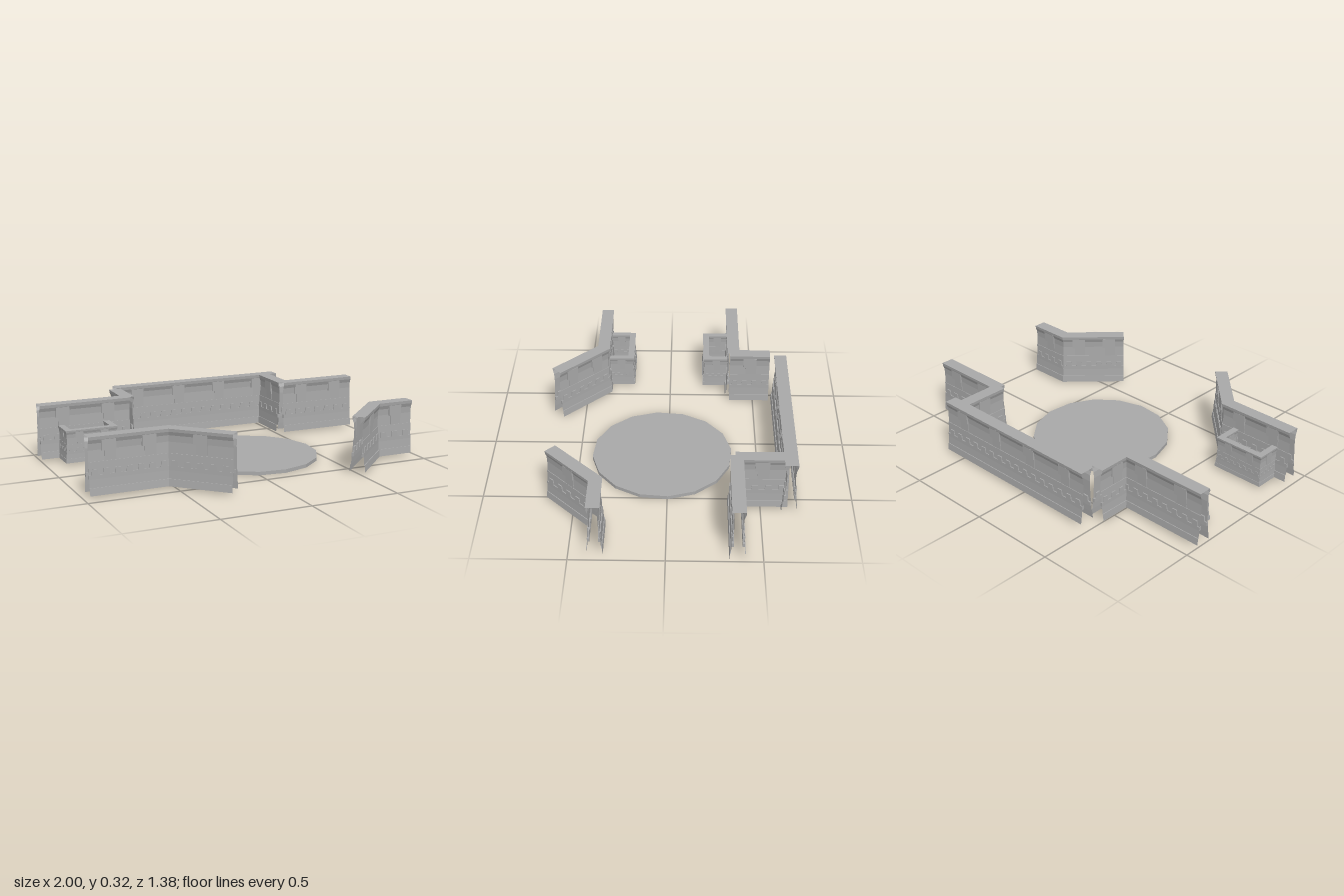
import * as THREE from 'three';
import { mergeGeometries } from 'three/addons/utils/BufferGeometryUtils.js';

// Half cross-section of a full-size wall: [distance from centreline, height]
const PROFILE = [
  [0.043, 0.015], [0.040, 0.055], [0.036, 0.055], [0.034, 0.1], [0.030, 0.1], [0.028, 0.19],
  [0.025, 0.19], [0.023, 0.25], [0.026, 0.285], [0.034, 0.305], [0.036, 0.322],
];

// Point of the path moved sideways by off, mitred at bends
function offsetPoint(path, i, off) {
  const dir = (k) => new THREE.Vector2().subVectors(path[k + 1], path[k]).normalize();
  const a = dir(Math.max(i - 1, 0));
  const b = dir(Math.min(i, path.length - 2));
  const na = new THREE.Vector2(-a.y, a.x);
  const nb = new THREE.Vector2(-b.y, b.x);
  const miter = na.clone().add(nb).normalize();
  return path[i].clone().addScaledVector(miter, off / miter.dot(na));
}

// Open shell swept along the path: both faces and the top
function shellGeometry(path, wide, tall) {
  const section = [...PROFILE, ...PROFILE.map(([w, y]) => [-w, y]).reverse()];
  const rows = path.map((_, i) => section.map(([w, y]) => {
    const p = offsetPoint(path, i, w * wide);
    return [p.x, tall(y), p.y];
  }));
  const positions = [];
  for (let i = 0; i < rows.length - 1; i++) {
    for (let k = 0; k < section.length - 1; k++) {
      const a = rows[i][k], b = rows[i + 1][k], c = rows[i + 1][k + 1], d = rows[i][k + 1];
      positions.push(...a, ...b, ...c, ...a, ...c, ...d);
    }
  }
  const geometry = new THREE.BufferGeometry();
  geometry.setAttribute('position', new THREE.Float32BufferAttribute(positions, 3));
  geometry.computeVertexNormals();
  return geometry;
}

// Raised band with a toothed upper edge, standing on local z = 0
function toothedBand(length, depth, size, tall) {
  const low = tall(0.122), high = tall(0.152);
  const count = Math.max(1, Math.round(length / (0.067 * size)));
  const step = length / count;
  const shape = new THREE.Shape();
  shape.moveTo(0, tall(0.1));
  shape.lineTo(length, tall(0.1));
  shape.lineTo(length, low);
  for (let i = count - 1; i >= 0; i--) {
    shape.lineTo((i + 0.78) * step, low);
    shape.lineTo((i + 0.72) * step, high);
    shape.lineTo((i + 0.28) * step, high);
    shape.lineTo((i + 0.22) * step, low);
  }
  shape.lineTo(0, low);
  return new THREE.ExtrudeGeometry(shape, { depth, bevelEnabled: false });
}

function brick(x, width, y0, y1, depth) {
  const box = new THREE.BoxGeometry(width, y1 - y0, depth).toNonIndexed();
  return box.translate(x, (y0 + y1) / 2, depth / 2);
}

// A wall run with bands and bricks on both faces
function createWall(name, points, material, size = 1, wide = 1) {
  const path = points.map(([x, z]) => new THREE.Vector2(x, z));
  const tall = (y) => 0.015 + (y - 0.015) * size;
  const group = new THREE.Group();
  group.name = name;
  const add = (part, geometry) => {
    const mesh = new THREE.Mesh(geometry, material);
    mesh.name = part;
    group.add(mesh);
  };
  add('wallShell', shellGeometry(path, wide, tall));

  const bands = [], bricks = [];
  for (let i = 0; i < path.length - 1; i++) {
    for (const side of [1, -1]) {
      const inner = 0.022 * wide * side;
      const ends = [offsetPoint(path, i, inner), offsetPoint(path, i + 1, inner)];
      if (side < 0) ends.reverse();
      const length = ends[0].distanceTo(ends[1]);
      const d = ends[1].clone().sub(ends[0]).normalize();
      const place = new THREE.Matrix4().makeBasis(
        new THREE.Vector3(d.x, 0, d.y), new THREE.Vector3(0, 1, 0), new THREE.Vector3(-d.y, 0, d.x),
      ).setPosition(ends[0].x, 0, ends[0].y);
      bands.push(toothedBand(length, 0.012 * wide, size, tall).applyMatrix4(place));

      const count = Math.max(1, Math.round(length / (0.24 * size)));
      for (let n = 0; n < count; n++) {
        const x = length * (n + 0.5) / count;
        const w = Math.min(0.078 * size, length * 0.5);
        bricks.push(brick(x, w, tall(0.245), tall(0.303), 0.0115 * wide).applyMatrix4(place));
        bricks.push(brick(x + w * 0.1, w * 0.8, tall(0.192), tall(0.245), 0.006 * wide).applyMatrix4(place));
      }
    }
  }
  add('toothedBands', mergeGeometries(bands));
  add('raisedBricks', mergeGeometries(bricks));
  return group;
}

export function createModel() {
  const stone = new THREE.MeshStandardMaterial({ color: 0xa8a8a8, side: THREE.DoubleSide, flatShading: true });
  stone.name = 'grey stone';
  const model = new THREE.Group();
  model.name = 'ruinedCourtyard';

  // Round floor in the middle
  const floor = new THREE.Mesh(new THREE.CylinderGeometry(0.395, 0.395, 0.02, 16), stone);
  floor.name = 'roundFloor';
  floor.position.set(0.115, 0.01, 0.035);
  floor.rotation.y = THREE.MathUtils.degToRad(5.6);
  model.add(floor);

  // Main walls, as [x, z] centrelines
  const walls = {
    backWall: [[-0.45, -0.652], [0.62, -0.652]],
    backRightWall: [[-1, -0.377], [-0.465, -0.377]],
    backRightReturn: [[-0.468, -0.593], [-0.468, -0.358]],
    backLeftReturn: [[0.537, -0.645], [0.537, -0.36]],
    backLeftWall: [[0.53, -0.367], [1, -0.367]],
    frontRightWall: [[-0.968, 0.397], [-0.522, 0.397], [-0.262, 0.657]],
    frontLeftWall: [[0.973, 0.362], [0.745, 0.362], [0.487, 0.62]],
  };
  for (const [name, points] of Object.entries(walls)) model.add(createWall(name, points, stone));

  // Low three-sided pens against the right-hand walls
  const pen = (zWall, zFar) => [[-0.877, zWall], [-0.877, zFar], [-0.609, zFar], [-0.609, zWall]];
  model.add(createWall('backPen', pen(-0.35, -0.219), stone, 0.6, 0.5));
  model.add(createWall('frontPen', pen(0.37, 0.24), stone, 0.6, 0.5));
  return model;
}
